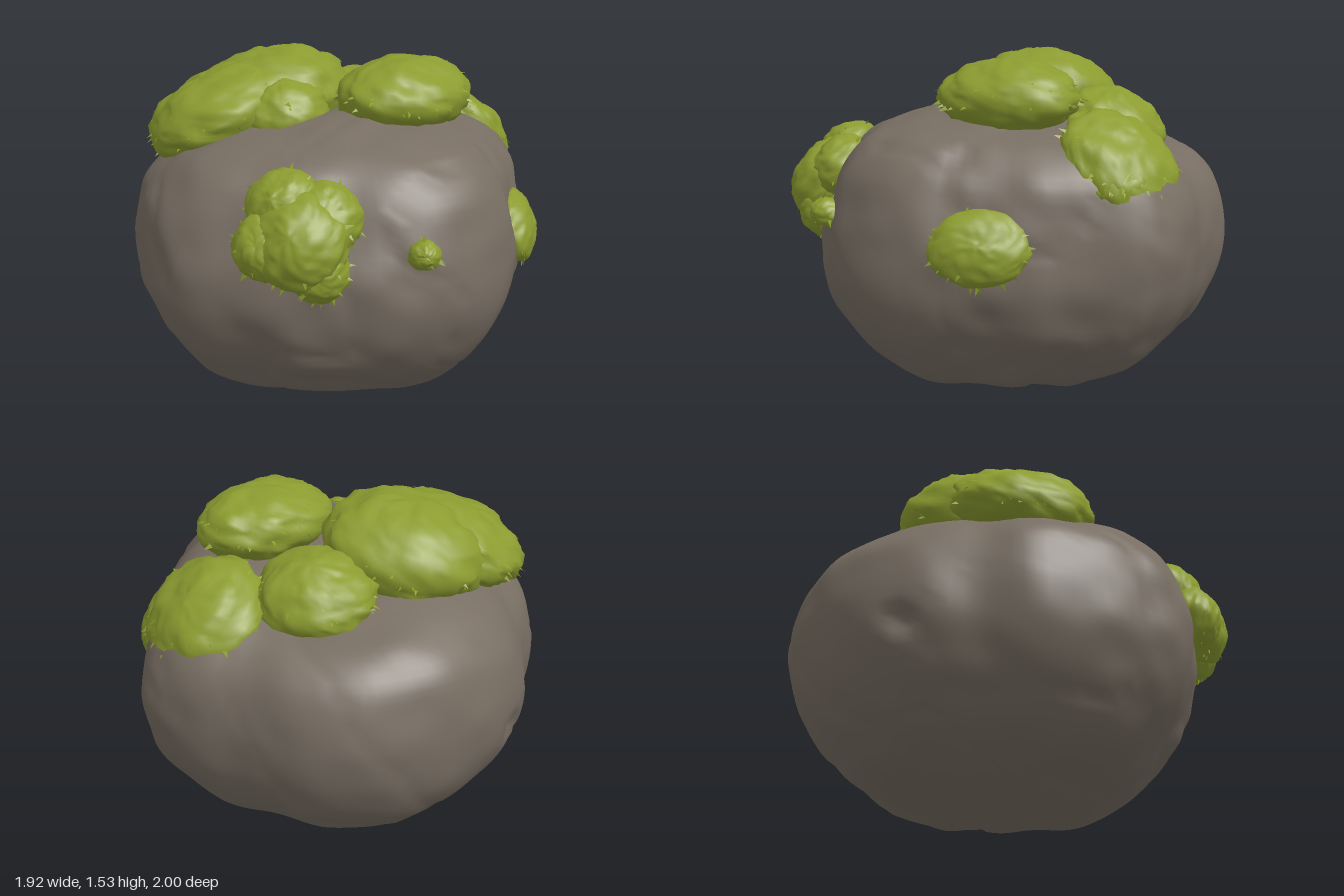
import * as THREE from 'three';
import { mergeGeometries, mergeVertices } from 'three/addons/utils/BufferGeometryUtils.js';

const rockMat = new THREE.MeshStandardMaterial({ name: 'warm grey stone', color: 0x786e63 });
const mossMat = new THREE.MeshStandardMaterial({ name: 'moss green', color: 0x8c9c30 });
const bladeMat = new THREE.MeshStandardMaterial({ name: 'moss blade green', color: 0x8c9c30, side: THREE.DoubleSide });

// Seeded random numbers and smooth 3D value noise in -1..1
let seed = 7;
const random = () => {
  seed = (seed * 1664525 + 1013904223) % 4294967296;
  return seed / 4294967296;
};
const hash = (x, y, z) => {
  const h = Math.sin(x * 127.1 + y * 311.7 + z * 74.7) * 43758.5453;
  return (h - Math.floor(h)) * 2 - 1;
};
function noise(x, y, z) {
  const [i, j, k] = [x, y, z].map(Math.floor);
  const [u, v, w] = [x - i, y - j, z - k].map((t) => t * t * (3 - 2 * t));
  const mix = THREE.MathUtils.lerp;
  const row = (b, c) => mix(hash(i, b, c), hash(i + 1, b, c), u);
  return mix(mix(row(j, k), row(j + 1, k), v), mix(row(j, k + 1), row(j + 1, k + 1), v), w);
}

// Sphere with shared vertices, so its normals stay smooth across the seam
function weldedSphere(w, h) {
  const geo = new THREE.SphereGeometry(1, w, h);
  geo.deleteAttribute('uv');
  geo.deleteAttribute('normal');
  return mergeVertices(geo, 1e-4);
}

function reshape(geo, rule) {
  const pos = geo.attributes.position;
  const v = new THREE.Vector3();
  for (let i = 0; i < pos.count; i++) {
    rule(v.fromBufferAttribute(pos, i));
    pos.setXYZ(i, v.x, v.y, v.z);
  }
  geo.computeVertexNormals();
  return geo;
}

// Boulder plan outline: radius every 15 degrees, from +x towards +z
const OUTLINE = [0.95, 0.96, 0.935, 0.89, 0.895, 0.92, 1.0, 0.98, 0.955, 0.955, 0.89, 0.935,
  0.96, 0.98, 0.995, 0.995, 0.97, 0.925, 0.985, 0.995, 0.92, 0.88, 0.865, 0.905];
function outlineRadius(angle) {
  const f = ((angle / (Math.PI * 2) + 1) % 1) * 24;
  const i = Math.floor(f);
  const t = f - i;
  const [a, b, c, d] = [-1, 0, 1, 2].map((o) => OUTLINE[(i + o + 24) % 24]);
  return b + 0.5 * t * (c - a + t * (2 * a - 5 * b + 4 * c - d + t * (3 * (b - c) + d - a)));
}

// Boulder side profile: share of the outline radius, height
const PROFILE = new THREE.SplineCurve([
  [0, 0], [0.3, 0.005], [0.62, 0.09], [0.84, 0.28], [0.96, 0.47], [1, 0.66],
  [0.98, 0.85], [0.92, 1.01], [0.78, 1.14], [0.52, 1.235], [0.25, 1.275], [0, 1.285],
].map(([x, y]) => new THREE.Vector2(x, y)));

function boulder() {
  const pit = new THREE.Vector3(-0.93, 0.55, 0.15);
  const geo = reshape(weldedSphere(112, 72), (v) => {
    const dir = v.clone();
    const p = PROFILE.getPointAt(THREE.MathUtils.clamp(Math.acos(-v.y) / Math.PI, 0, 1));
    const angle = Math.atan2(v.z, v.x);
    // The +x +z corner leans out below and back above
    const corner = Math.max(0, Math.cos(angle - Math.PI / 4)) ** 2;
    const r = p.x * outlineRadius(angle) * (1 + corner * 0.09 * (0.66 - p.y));
    const flat = Math.hypot(v.x, v.z) || 1;
    v.set((v.x / flat) * r, p.y, (v.z / flat) * r);
    // The top slopes down gently to the -x side and dips at the back
    const top = THREE.MathUtils.smoothstep(p.y, 0.7, 1.2);
    const dip = Math.exp(-((v.x + 0.3) ** 2 + (v.z + 0.45) ** 2) / 0.1);
    v.y += top * (0.045 * v.x - 0.08 * dip);
    // Broad dents, finer chips, and thin creases
    const rough = v.x + v.z * 0.3 > -0.2 ? 1 : 0.6;
    const crease = Math.max(0, 1 - Math.abs(noise(v.x * 2 + 9, v.y * 2, v.z * 2)) * 14);
    const bump = 0.014 * noise(v.x * 3, v.y * 3, v.z * 3)
      + rough * (0.016 * noise(v.x * 7, v.y * 7, v.z * 7) - 0.012 * crease);
    // Small pit in the -x side
    const hollow = 0.06 * Math.max(0, 1 - v.distanceTo(pit) / 0.09);
    v.addScaledVector(dir, bump - hollow);
    v.y = Math.max(0, v.y);
  });
  const mesh = new THREE.Mesh(geo, rockMat);
  mesh.name = 'boulder';
  return mesh;
}

// One pointed blade growing from p along dir
function blade(p, dir, normal, length) {
  const side = new THREE.Vector3().crossVectors(dir, normal).normalize().multiplyScalar(length * 0.28);
  const tip = p.clone().addScaledVector(dir, length);
  const geo = new THREE.BufferGeometry().setFromPoints([p.clone().sub(side), p.clone().add(side), tip]);
  geo.computeVertexNormals();
  return geo;
}

// Lumpy cushion: centre, facing direction, radii (level, thickness, down the slope)
function mossCushion(centre, [nx, ny, nz], [rx, ry, rz], blades) {
  const group = new THREE.Group();
  group.rotation.set(Math.atan2(Math.hypot(nx, nz), ny), Math.atan2(nx, nz), 0, 'YXZ');
  group.position.set(...centre);
  const [ox, oy, oz] = centre.map((c) => c * 13);
  const swell = (v) => 1 + 0.06 * noise(v.x * 3 + ox, v.y * 3 + oy, v.z * 3 + oz)
    + 0.045 * noise(v.x * 8 + ox, v.y * 8 + oy, v.z * 8 + oz);
  const place = (v) => v.multiplyScalar(swell(v)).multiply(new THREE.Vector3(rx, ry, rz));
  const cushion = new THREE.Mesh(reshape(weldedSphere(48, 28), place), mossMat);
  cushion.name = 'cushion';
  group.add(cushion);

  // Blades gather towards the rim and point outwards
  const parts = [];
  for (let i = 0; i < blades; i++) {
    const a = random() * Math.PI * 2;
    const lift = -0.15 + random() ** 2 * 0.9;
    const flat = Math.sqrt(1 - lift * lift);
    const p = new THREE.Vector3(Math.cos(a) * flat, lift, Math.sin(a) * flat);
    const normal = new THREE.Vector3(p.x / rx, p.y / ry, p.z / rz).normalize();
    const dir = new THREE.Vector3(Math.cos(a + random() - 0.5), -0.35, Math.sin(a + random() - 0.5))
      .addScaledVector(normal, 0.2).normalize();
    parts.push(blade(place(p).multiplyScalar(0.985), dir, normal, 0.022 + random() * 0.02));
  }
  const fringe = new THREE.Mesh(mergeGeometries(parts), bladeMat);
  fringe.name = 'blades';
  group.add(fringe);
  return group;
}

const MOSS = {
  largeTopMoss: [
    [[-0.33, 1.28, 0.1], [-0.2, 1, 0.12], [0.36, 0.23, 0.38], 40],
    [[-0.39, 1.25, 0.38], [-0.28, 1, 0.36], [0.34, 0.18, 0.34], 45],
    [[-0.08, 1.27, 0.25], [0, 1, 0.2], [0.19, 0.15, 0.2], 20],
  ],
  backTopMoss: [[[-0.23, 1.18, -0.39], [-0.15, 1, -0.3], [0.27, 0.18, 0.25], 40]],
  sideTopMoss: [[[0.27, 1.34, -0.18], [0.08, 1, 0], [0.34, 0.17, 0.27], 50]],
  backMoss: [
    [[0.14, 1.08, -0.7], [0.03, 0.75, -0.65], [0.29, 0.16, 0.28], 50],
    [[0.2, 0.99, -0.78], [0.1, 0.6, -0.8], [0.21, 0.13, 0.16], 25],
  ],
  frontMoss: [
    [[0.37, 1.02, 0.72], [0.3, 0.5, 0.8], [0.16, 0.14, 0.17], 20],
    [[0.49, 0.9, 0.75], [0.42, 0.4, 0.8], [0.21, 0.16, 0.21], 35],
    [[0.38, 0.88, 0.84], [0.35, 0.35, 0.85], [0.14, 0.11, 0.15], 20],
    [[0.51, 0.98, 0.63], [0.55, 0.5, 0.6], [0.17, 0.14, 0.16], 20],
    [[0.56, 0.78, 0.71], [0.5, 0.2, 0.8], [0.13, 0.12, 0.13], 25],
  ],
  smallSpot: [[[0.85, 0.835, 0.375], [0.65, 0.2, 0.7], [0.07, 0.085, 0.065], 6]],
  sidePatch: [[[0.74, 0.755, -0.41], [0.75, 0.25, -0.5], [0.22, 0.1, 0.165], 30]],
};

export function createModel() {
  const model = new THREE.Group();
  model.name = 'mossyBoulder';
  model.add(boulder());
  for (const [name, cushions] of Object.entries(MOSS)) {
    const patch = new THREE.Group();
    patch.name = name;
    for (const cushion of cushions) patch.add(mossCushion(...cushion));
    model.add(patch);
  }
  return model;
}
